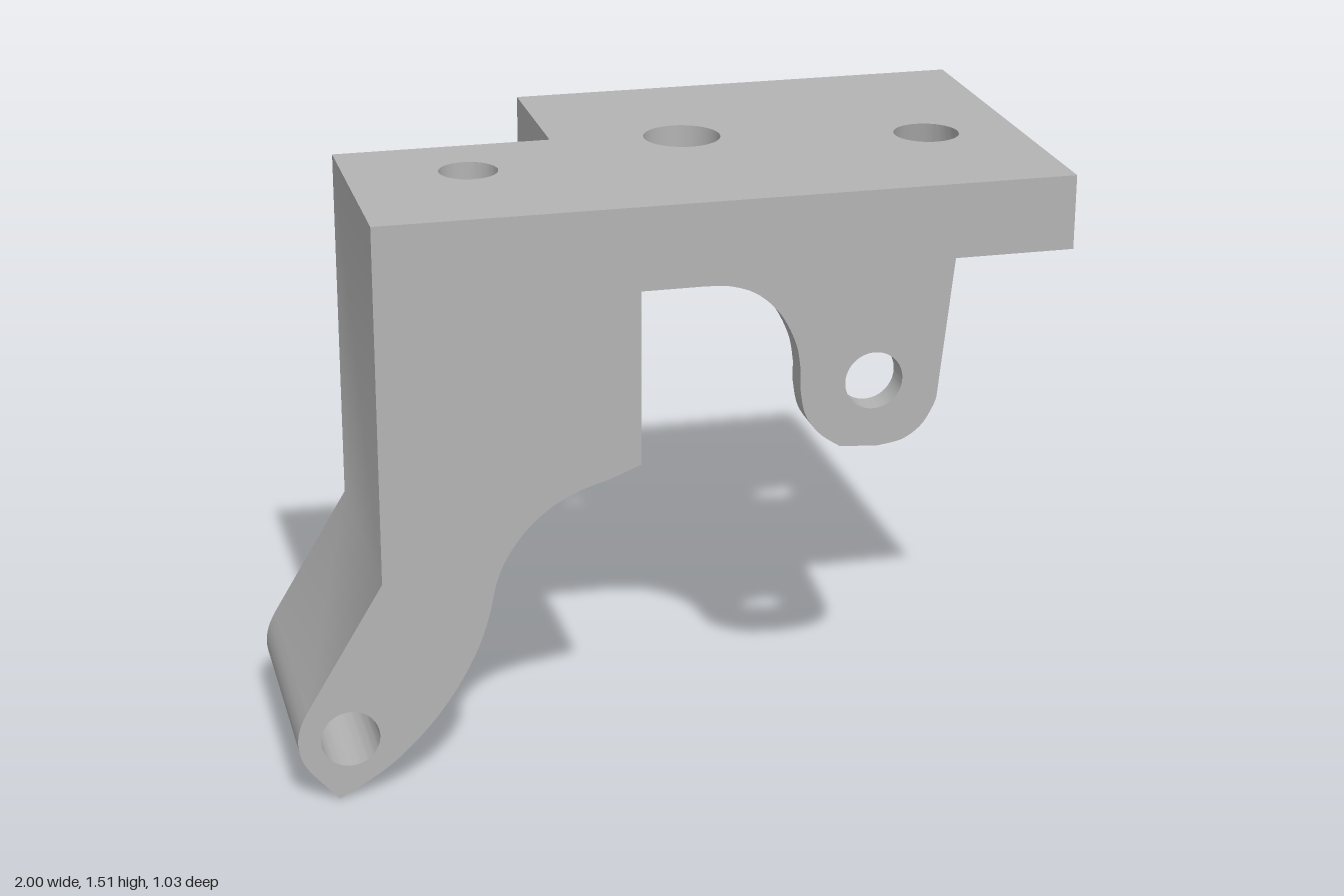
import * as THREE from 'three';
import { mergeGeometries, toCreasedNormals } from 'three/addons/utils/BufferGeometryUtils.js';

const TOP = 1.515, UNDER = 1.3, RIM = 1.322;      // deck heights
const FRONT = 0.517, BACK = -0.517, LEG_BACK = -0.098;
const BORE = { x: -0.465, z: 0.122, r: 0.14, lip: 1.475 };
const SEG = 64;

const v3 = (x, y, z) => new THREE.Vector3(x, y, z);

// Counter-clockwise circle as 2D points (closed).
function circle(cx, cy, r) {
  return Array.from({ length: SEG + 1 }, (_, i) => {
    const t = (i / SEG) * Math.PI * 2;
    return [cx + r * Math.cos(t), cy + r * Math.sin(t)];
  });
}

// Smooth curve through 2D points.
const smooth = (pts, n) => new THREE.SplineCurve(pts.map(p => new THREE.Vector2(...p)))
  .getPoints(n).map(p => [p.x, p.y]);

// Surface between two matching rows of points.
function strip(a, b) {
  const pos = [], index = [];
  a.forEach((p, i) => {
    pos.push(...p.toArray(), ...b[i].toArray());
    const k = i * 2;
    if (i < a.length - 1) index.push(k, k + 1, k + 2, k + 1, k + 3, k + 2);
  });
  const g = new THREE.BufferGeometry();
  g.setAttribute('position', new THREE.Float32BufferAttribute(pos, 3));
  g.setIndex(index);
  return toCreasedNormals(g, 0.6);
}

// Wall along an x-y path, running from z0 to z1.
const wall = (path, z0, z1) => strip(path.map(p => v3(...p, z0)), path.map(p => v3(...p, z1)));

// Horizontal ring of points, and the surface of a vertical hole.
const ring = (x, z, r, y) => circle(x, z, r).reverse().map(([px, pz]) => v3(px, y, pz));
const hole = (x, z, rLow, yLow, rHigh, yHigh) => strip(ring(x, z, rLow, yLow), ring(x, z, rHigh, yHigh));

// Flat face with holes, placed in space by a rule.
function face(outline, holes, place, flip) {
  const toV2 = pts => pts.map(p => new THREE.Vector2(...p));
  const shape = new THREE.Shape(toV2(outline));
  holes.forEach(h => shape.holes.push(new THREE.Path(toV2(h))));
  const g = new THREE.ShapeGeometry(shape);
  const p = g.attributes.position;
  for (let i = 0; i < p.count; i++) p.setXYZ(i, ...place(p.getX(i), p.getY(i)));
  if (flip) g.setIndex(Array.from(g.index.array).reverse());
  g.deleteAttribute('uv');
  const out = g.toNonIndexed();
  out.computeVertexNormals();
  return out;
}
const upright = z => (x, y) => [x, y, z];
const level = y => (x, z) => [x, y, z];
const rect = (x0, z0, x1, z1) => [[x0, z0], [x1, z0], [x1, z1], [x0, z1]];

export function createModel() {
  const group = new THREE.Group();
  const grey = new THREE.MeshStandardMaterial({ color: 0xb3b3b3, side: THREE.DoubleSide });
  grey.name = 'plain grey';
  const add = (name, parts) => {
    const mesh = new THREE.Mesh(mergeGeometries(parts), grey);
    mesh.name = name;
    group.add(mesh);
  };

  // Deck: L-shaped top, stepped underside, one straight and one tapered hole
  const step = 0.618, left = -0.21;
  const topOutline = [[-0.775, LEG_BACK], [left, LEG_BACK], [left, BACK], [1, BACK], [1, FRONT], [-0.775, FRONT]];
  const side = [[left, UNDER], [step, UNDER], [step, RIM], [1, RIM], [1, TOP], [left, TOP]];
  add('deck', [
    face(topOutline, [circle(BORE.x, BORE.z, 0.075), circle(0.13, -0.05, 0.1), circle(0.755, 0.07, 0.085)], level(TOP), true),
    face(rect(left, BACK, step, FRONT), [circle(0.13, -0.05, 0.1)], level(UNDER)),
    face(rect(step, BACK, 1, FRONT), [circle(0.755, 0.07, 0.135)], level(RIM)),
    face(side, [], upright(FRONT)),
    face(side, [], upright(BACK), true),
    wall([[1, TOP], [1, RIM]], BACK, FRONT),
    wall([[step, RIM], [step, UNDER]], BACK, FRONT),
    wall([[left, UNDER], [left, TOP]], BACK, LEG_BACK),
    hole(0.13, -0.05, 0.1, UNDER, 0.1, TOP),
    hole(0.755, 0.07, 0.135, RIM, 0.085, TOP),
  ]);

  // Leg: profile with an S-curved inner face, traced right to left
  const curve = [[-0.115, 0.845], ...smooth([
    [-0.19, 0.815], [-0.27, 0.79], [-0.345, 0.752], [-0.41, 0.695], [-0.46, 0.625], [-0.487, 0.56],
    [-0.505, 0.48], [-0.535, 0.39], [-0.59, 0.285], [-0.66, 0.19], [-0.75, 0.1], [-0.83, 0.045], [-0.9, 0.007],
  ], 72)];
  const heel = [[-0.9, 0.007], ...smooth([[-0.968, 0.085], [-0.99, 0.122], [-1, 0.17], [-0.993, 0.215], [-0.975, 0.255]], 16),
    [-0.775, 0.587], [-0.775, TOP]];
  const profile = [[-0.115, TOP], ...curve, ...heel.slice(1)].reverse();
  const footHole = circle(-0.867, 0.172, 0.075);

  // Height of the curved face at x
  const heightAt = x => {
    const i = Math.max(1, curve.findIndex(p => p[0] <= x + 1e-9));
    const [x0, y0] = curve[i - 1], [x1, y1] = curve[i];
    return y0 + (y1 - y0) * (x - x0) / (x1 - x0);
  };
  // Columns across the curved face, parted where the bore breaks through
  const xs = [...curve, ...circle(BORE.x, 0, BORE.r).slice(0, SEG / 2 + 1)].map(p => p[0]).sort((a, b) => b - a);
  const edge = sign => xs.map(x => v3(x, heightAt(x),
    BORE.z + sign * Math.sqrt(Math.max(0, BORE.r ** 2 - (x - BORE.x) ** 2))));
  const border = z => xs.map(x => v3(x, heightAt(x), z));
  add('leg', [
    face(profile, [footHole], upright(FRONT)),
    face(profile, [footHole], upright(LEG_BACK), true),
    wall([[-0.115, UNDER], [-0.115, 0.845]], LEG_BACK, FRONT),
    wall(heel, LEG_BACK, FRONT),
    wall(footHole, LEG_BACK, FRONT),
    strip(border(LEG_BACK), edge(-1)),
    strip(edge(1), border(FRONT)),
  ]);

  // Wide vertical bore closed by a thin lip with a smaller hole
  const boreTop = ring(BORE.x, BORE.z, BORE.r, BORE.lip);
  add('legBore', [
    strip(boreTop.map(p => v3(p.x, heightAt(p.x), p.z)), boreTop),
    strip(boreTop, ring(BORE.x, BORE.z, 0.075, BORE.lip)),
    hole(BORE.x, BORE.z, 0.075, BORE.lip, 0.075, TOP),
  ]);

  // Thin hanging ear with a filleted web, flush with the front
  const ear = [[0.69, RIM], [0.652, 0.955],
    ...smooth([[0.645, 0.935], [0.615, 0.885], [0.565, 0.85], [0.5, 0.838]], 16), [0.4, 0.845],
    ...smooth([[0.4, 0.845], [0.345, 0.885], [0.307, 0.94], [0.293, 1.01]], 14),
    ...smooth([[0.293, 1.06], [0.28, 1.13], [0.24, 1.21], [0.18, 1.268], [0.11, 1.295], [0.04, UNDER]], 24),
    [-0.115, UNDER]];
  const earOutline = [...ear, [-0.115, RIM]].reverse();
  const earHole = circle(0.485, 1.015, 0.075);
  const earBack = FRONT - 0.07;
  add('ear', [
    face(earOutline, [earHole], upright(FRONT)),
    face(earOutline, [earHole], upright(earBack), true),
    wall(ear, earBack, FRONT),
    wall(earHole, earBack, FRONT),
  ]);

  return group;
}
